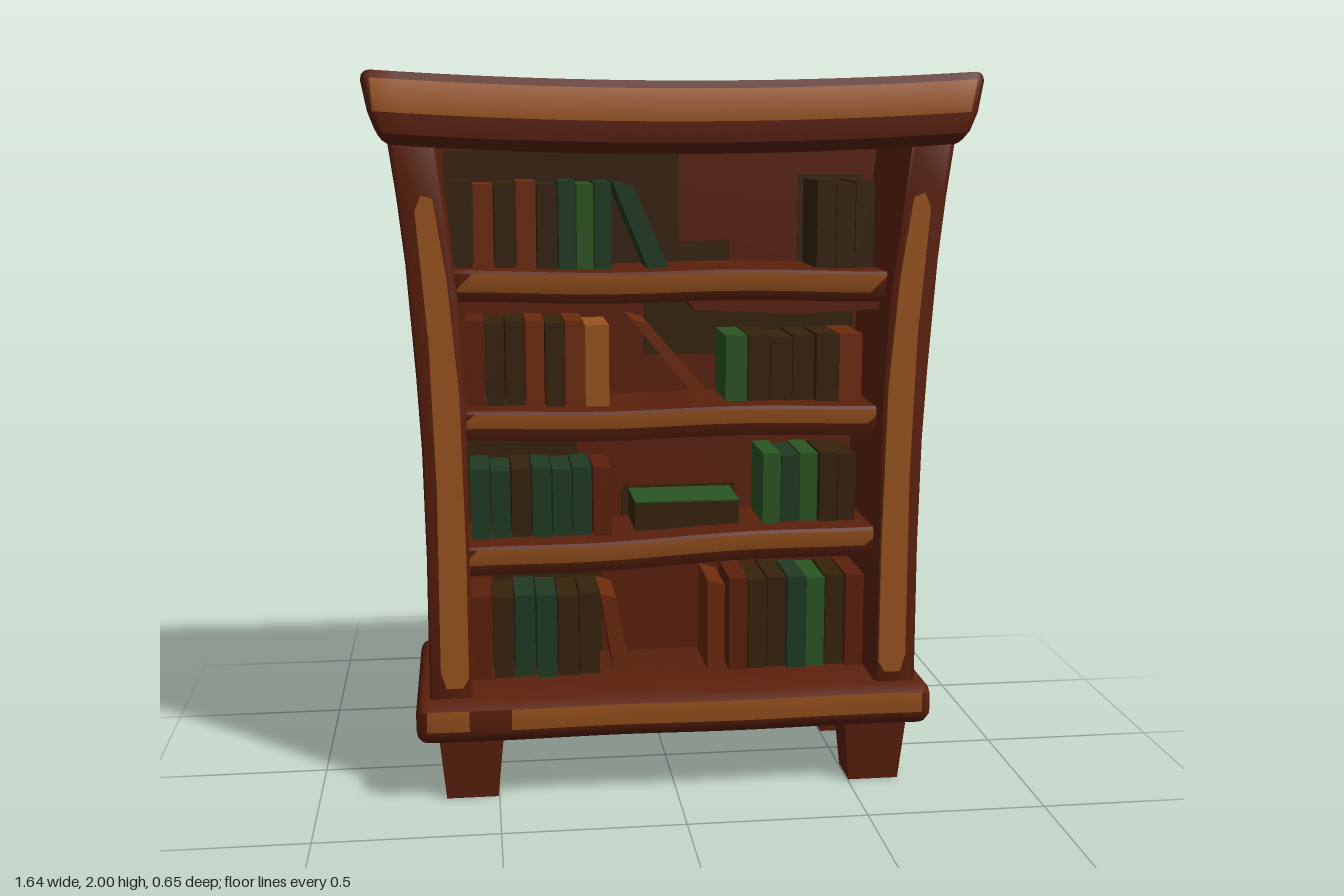
import * as THREE from 'three';
import { toCreasedNormals } from 'three/addons/utils/BufferGeometryUtils.js';

const material = (name, color) => {
  const m = new THREE.MeshStandardMaterial({ color });
  m.name = name;
  return m;
};
const wood = material('red brown wood', 0x5b200c);
const worn = material('worn light wood', 0x9a531e);
const dark = material('dark brown', 0x36220c);
const rust = material('rust leather', 0x6c2a0d);
const teal = material('deep green cloth', 0x203a22);
const green = material('bright green cloth', 0x2b5522);
const bookColors = { w: wood, o: worn, d: dark, r: rust, t: teal, g: green };

// Move every vertex by a rule
function deform(geo, rule) {
  const p = geo.attributes.position, v = new THREE.Vector3();
  for (let i = 0; i < p.count; i++) {
    rule(v.fromBufferAttribute(p, i));
    p.setXYZ(i, v.x, v.y, v.z);
  }
  return geo;
}

// Split triangles into a plain and a worn group by centre and facing
function twoTone(geo, isWorn) {
  const p = geo.attributes.position, lists = [[], []];
  const t = new THREE.Triangle(), c = new THREE.Vector3(), n = new THREE.Vector3();
  for (let i = 0; i < p.count; i += 3) {
    t.setFromAttributeAndIndices(p, i, i + 1, i + 2);
    t.getMidpoint(c);
    t.getNormal(n);
    lists[isWorn(c, n) ? 1 : 0].push(i, i + 1, i + 2);
  }
  geo.setIndex(lists.flat());
  geo.clearGroups();
  geo.addGroup(0, lists[0].length, 0);
  geo.addGroup(lists[0].length, lists[1].length, 1);
  return geo;
}

// Board running along x with a (z, y) profile and softened ends
function board(profile, length, bevel, rule, isWorn) {
  const shape = new THREE.Shape(profile.map(([z, y]) => new THREE.Vector2(-z, y)));
  const depth = length - 2 * bevel;
  const geo = new THREE.ExtrudeGeometry(shape, {
    depth, steps: 24, bevelEnabled: true, bevelThickness: bevel,
    bevelSize: bevel, bevelOffset: -bevel, bevelSegments: 3,
  });
  geo.translate(0, 0, -depth / 2).rotateY(Math.PI / 2);
  return twoTone(toCreasedNormals(deform(geo, rule), 0.7), isWorn);
}

// Flat outline in x, y pushed from z0 to z1
function slab(points, z0, z1, bevel = 0) {
  const geo = new THREE.ExtrudeGeometry(new THREE.Shape(points.map(([x, y]) => new THREE.Vector2(x, y))), {
    depth: z1 - z0 - 2 * bevel, bevelEnabled: bevel > 0, bevelThickness: bevel,
    bevelSize: bevel, bevelOffset: -bevel, bevelSegments: 2,
  });
  geo.translate(0, 0, z0 + bevel);
  return toCreasedNormals(geo, 0.6);
}

export function createModel() {
  const model = new THREE.Group();
  model.name = 'bookcase';
  const add = (name, geo, mat, parent = model) => {
    const mesh = new THREE.Mesh(geo, mat);
    mesh.name = name;
    parent.add(mesh);
    return mesh;
  };

  // Sagging crown, wider at the top, worn on top and along the upper front
  add('crown', board(
    [[0.29, 1.81], [0.325, 1.84], [0.33, 1.895], [0.325, 1.98], [0.31, 2], [-0.31, 2], [-0.325, 1.98], [-0.33, 1.85], [-0.29, 1.81]],
    1.64, 0.025, (v) => {
      const e = Math.min(1, (v.x / 0.8) ** 2), down = (2 - v.y) / 0.19;
      v.x *= 1 - 0.065 * down * down;
      v.y -= 0.025 * (1 - e);
      v.z *= 0.93 + 0.06 * e;
    }, (c, n) => n.y > 0.85 || (n.z > 0.85 && c.y > 1.885 && Math.abs(c.x) < 0.79)), [wood, worn]);

  // Rounded base rail with a rubbed front
  add('baseRail', board(
    [[0.285, 0.18], [0.312, 0.2], [0.32, 0.222], [0.318, 0.28], [0.285, 0.3], [-0.27, 0.3], [-0.295, 0.28], [-0.3, 0.205], [-0.27, 0.18]],
    1.45, 0.03, (v) => { v.z += 0.004 * Math.sin(v.x * 9); },
    (c, n) => n.z > 0.85 && c.y > 0.225 && Math.abs(c.x) < 0.69 && Math.abs(c.x + 0.52) > 0.04), [wood, worn]);

  // Tapered feet
  for (const [x, z, name] of [[0.575, 0.19, 'frontLeftFoot'], [-0.575, 0.19, 'frontRightFoot'], [0.575, -0.195, 'backLeftFoot'], [-0.575, -0.195, 'backRightFoot']]) {
    const geo = deform(new THREE.BoxGeometry(0.18, 0.19, 0.15), (v) => {
      if (v.y < 0) { v.x *= 0.8; v.z *= 0.8; }
    });
    geo.computeVertexNormals();
    add(name, geo, wood).position.set(x, 0.095, z);
  }

  // Flared side panels with worn strips on their front edges
  const outer = [[0.687, 0.29], [0.685, 0.7], [0.69, 1], [0.7, 1.2], [0.72, 1.5], [0.738, 1.67], [0.758, 1.82]];
  const inner = [[0.635, 1.82], [0.61, 1.6], [0.585, 1.4], [0.57, 1.1], [0.57, 0.29]];
  const strip = [[0.64, 0.33], [0.655, 0.38], [0.653, 0.9], [0.665, 1.3], [0.692, 1.64], [0.675, 1.68], [0.645, 1.67], [0.612, 1.45], [0.587, 1.15], [0.578, 0.7], [0.578, 0.36], [0.595, 0.33]];
  for (const [s, side] of [[1, 'left'], [-1, 'right']]) {
    const flip = (pts) => pts.map(([x, y]) => [s * x, y]);
    add(side + 'Side', slab(flip([...outer, ...inner]), -0.29, 0.27, 0.015), wood);
    add(side + 'WornEdge', slab(flip(strip), 0.266, 0.274), worn);
  }

  // Back panel filling the space between the sides
  const edge = inner.map(([x, y]) => [x + 0.03, y]);
  add('backPanel', slab([...edge, ...edge.map(([x, y]) => [-x, y]).reverse()], -0.285, -0.1), wood);

  // Dark stained patches on the back wall
  const patches = [[-0.62, 0.05, 1.46, 1.79], [0.05, 0.2, 1.46, 1.53], [0.4, 0.59, 1.46, 1.72],
    [-0.05, 0.57, 1.2, 1.36], [-0.57, -0.25, 0.7, 0.95], [-0.12, 0.22, 0.7, 0.81], [-0.5, -0.18, 0.3, 0.55]];
  for (const [x0, x1, y0, y1] of patches) {
    add('wallStain', new THREE.BoxGeometry(x1 - x0, y1 - y0, 0.006), dark)
      .position.set((x0 + x1) / 2, (y0 + y1) / 2, -0.099);
  }

  // Shelves, slightly tilted and bowed
  for (const [y, tilt, low, name] of [[1.4, -0.006, 0.012, 'topShelf'], [1.02, 0, 0.022, 'middleShelf'], [0.655, 0.03, 0.018, 'lowerShelf']]) {
    const h = 0.07;
    add(name, board(
      [[0.19, y - 0.015], [0.208, y + low], [0.21, y + h - 0.008], [0.202, y + h], [-0.12, y + h], [-0.12, y - 0.015]],
      1.2, 0.004, (v) => {
        v.y += tilt * v.x + 0.004 * Math.sin(v.x * 8);
      }, (c, n) => n.z > 0.85 && c.y > y + low + 0.012 + tilt * c.x + 0.004 * Math.sin(c.x * 8) && Math.abs(c.x) < 0.565), [wood, worn]);
  }
  // Loose cleat under the top shelf
  add('shelfCleat', slab([[0.03, 1.4], [0.06, 1.36], [0.35, 1.345], [0.58, 1.355], [0.58, 1.4]], -0.1, 0.17), wood);

  // Books: a row of equal spines, one letter per colour
  const books = new THREE.Group();
  books.name = 'books';
  model.add(books);
  const row = (x0, x1, base, height, colors) => {
    const w = (x1 - x0) / colors.length;
    [...colors].forEach((c, i) => {
      const h = height - 0.004 * ((i * 2) % 3), d = 0.2 - 0.012 * (i % 2);
      add('book', new THREE.BoxGeometry(w - 0.004, h, d), bookColors[c], books)
        .position.set(x0 + w * (i + 0.5), base + h / 2, 0.12 - d / 2 - 0.008 * (i % 3));
    });
  };
  // Leaning book, from its top corner to its foot
  const lean = (xt, yt, xb, yb, w, mat) =>
    add('leaningBook', slab([[xt, yt], [xb, yb], [xb + w, yb], [xt + w, yt - w * 0.3]], -0.08, 0.11), mat, books);

  row(-0.6, -0.31, 1.465, 0.245, 'drdrd');
  row(-0.31, -0.16, 1.465, 0.245, 'tgt');
  lean(-0.16, 1.71, -0.06, 1.465, 0.06, teal);
  row(0.41, 0.58, 1.465, 0.245, 'ddd');

  row(-0.57, -0.24, 1.085, 0.245, 'wddrdr');
  row(-0.24, -0.17, 1.085, 0.23, 'o');
  lean(-0.11, 1.33, 0.09, 1.085, 0.05, rust);
  row(0.155, 0.22, 1.085, 0.195, 'g');
  row(0.22, 0.48, 1.085, 0.195, 'dddd');
  row(0.48, 0.55, 1.085, 0.195, 'r');

  row(-0.565, -0.22, 0.71, 0.205, 'ttdttt');
  row(-0.22, -0.165, 0.71, 0.2, 'w');
  row(0.265, 0.54, 0.73, 0.21, 'gtgdd');

  row(-0.57, -0.2, 0.3, 0.245, 'wdttdd');
  lean(-0.2, 0.54, -0.16, 0.3, 0.045, rust);
  lean(0.11, 0.57, 0.11, 0.3, 0.05, rust);
  row(0.17, 0.57, 0.3, 0.275, 'wddtgdw');

  // Closed book lying flat on the lower shelf
  add('flatBookPages', new THREE.BoxGeometry(0.3, 0.08, 0.18), dark, books).position.set(0.05, 0.762, 0.015);
  add('flatBookCover', new THREE.BoxGeometry(0.3, 0.005, 0.18), green, books).position.set(0.05, 0.8045, 0.015);

  return model;
}
